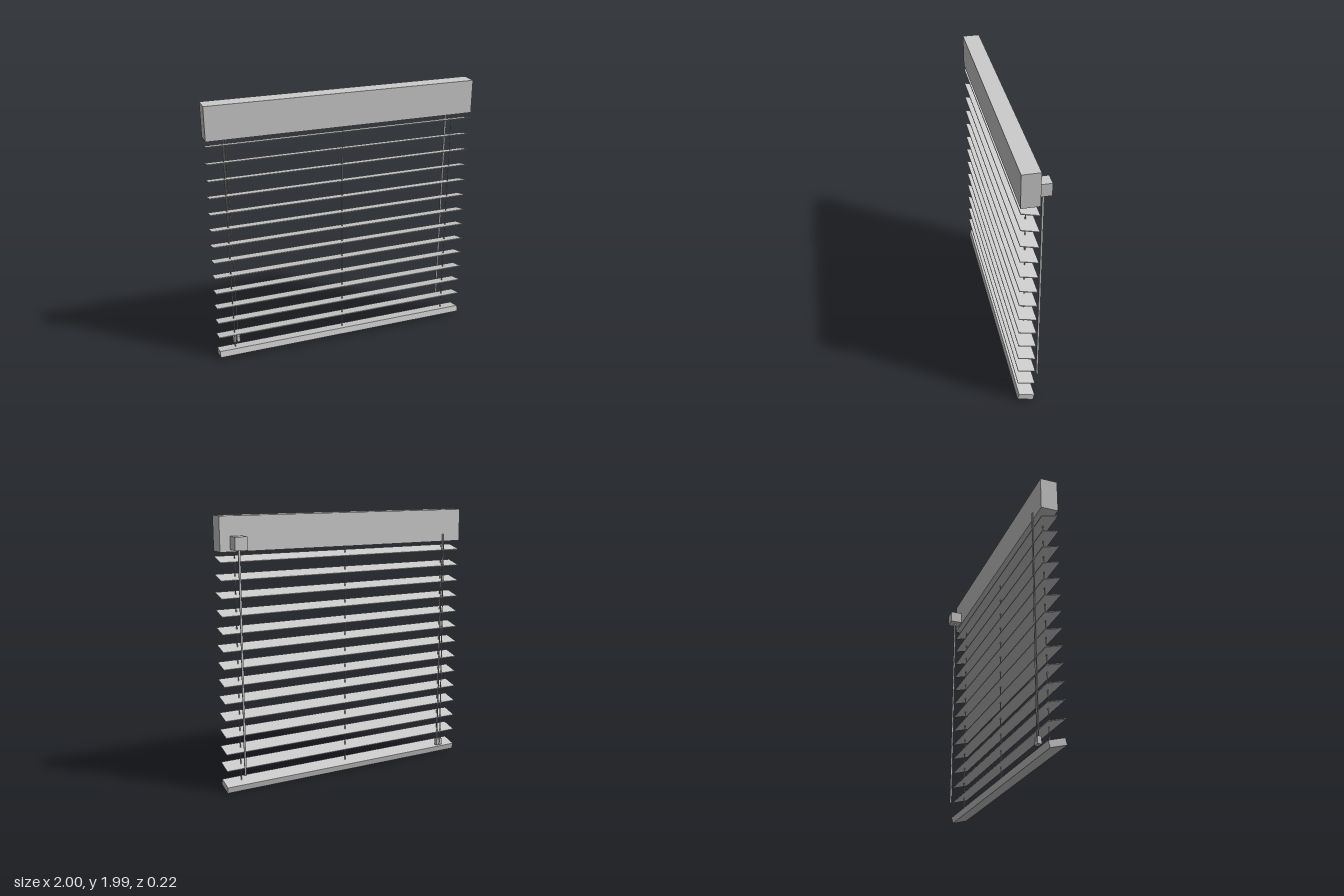
import * as THREE from 'three';

const material = new THREE.MeshStandardMaterial({ color: 0xcccccc, flatShading: true });

export function createModel() {
  const model = new THREE.Group();
  model.name = 'venetianBlind';

  const add = (name, geometry, x, y, z) => {
    const mesh = new THREE.Mesh(geometry, material);
    mesh.name = name;
    mesh.position.set(x, y, z);
    model.add(mesh);
    return mesh;
  };
  const box = (name, w, h, d, x, y, z) => add(name, new THREE.BoxGeometry(w, h, d), x, y, z);

  // Thin round rod between two points
  const rod = (name, radius, from, to, sides = 8) => {
    const a = new THREE.Vector3(...from), b = new THREE.Vector3(...to);
    const dir = b.clone().sub(a);
    const mid = a.clone().add(b).multiplyScalar(0.5);
    const mesh = add(name, new THREE.CylinderGeometry(radius, radius, dir.length(), sides), mid.x, mid.y, mid.z);
    mesh.quaternion.setFromUnitVectors(new THREE.Vector3(0, 1, 0), dir.normalize());
  };

  const midZ = 0.046;
  const tilt = -0.25; // front edges raised

  // Head rail
  box('headRail', 2, 0.245, 0.126, 0, 1.868, midZ);

  // Tilted slats
  const slatCount = 13;
  for (let i = 0; i < slatCount; i++) {
    const y = 0.187 + (i * 1.503) / (slatCount - 1);
    box('slat', 2, 0.006, 0.128, 0, y, midZ).rotation.x = tilt;
  }

  // Bottom rail, tilted like the slats
  box('bottomRail', 2, 0.048, 0.118, 0, 0.039, midZ).rotation.x = tilt;

  // Cords threaded through the slats
  for (const x of [-0.872, 0, 0.872]) {
    rod('ladderCord', 0.004, [x, 0.05, midZ], [x, 1.76, midZ]);
  }

  // Tilt control and hanging wand on the back
  box('tiltControl', 0.092, 0.092, 0.092, 0.88, 1.807, -0.063);
  rod('wand', 0.008, [0.88, 0.135, -0.063], [0.88, 1.77, -0.063], 12);

  // Pair of pull cords that spread towards their end weights
  for (const [topX, endX] of [[-0.85, -0.861], [-0.839, -0.832]]) {
    rod('pullCord', 0.004, [topX, 1.8, -0.02], [endX, 0.1, -0.02]);
    box('pullCordWeight', 0.024, 0.052, 0.028, endX, 0.092, -0.019);
  }

  return model;
}
